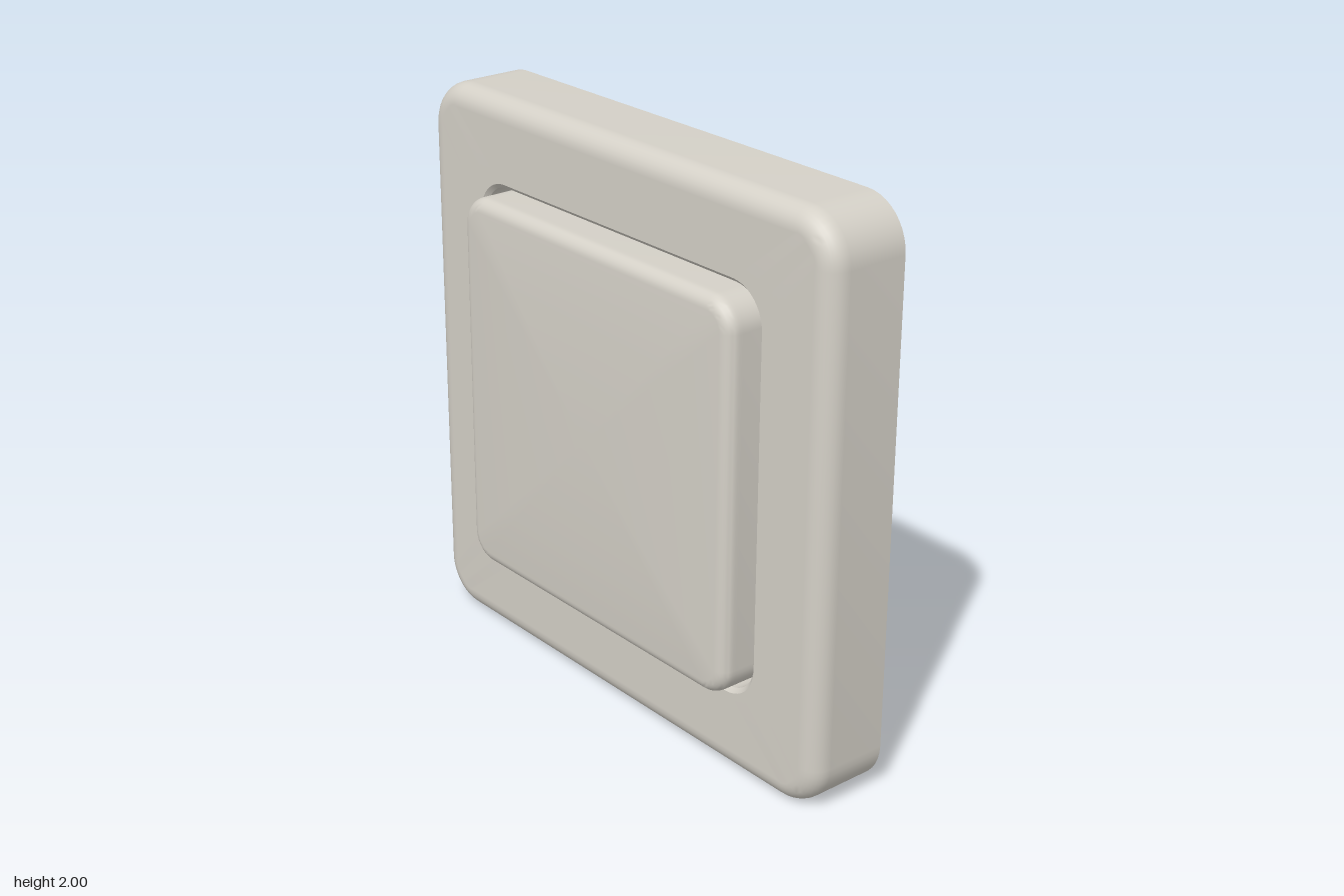
import * as THREE from 'three';
import { toCreasedNormals } from 'three/addons/utils/BufferGeometryUtils.js';

const CORNER = 10; // segments per rounded corner

// Rounded square outline, counter-clockwise seen from +z
function ring(half, radius, z) {
  const pts = [];
  for (let q = 0; q < 4; q++) {
    const mid = Math.PI / 4 + q * Math.PI / 2;
    const cx = Math.sign(Math.cos(mid)) * (half - radius);
    const cy = Math.sign(Math.sin(mid)) * (half - radius);
    for (let i = 0; i <= CORNER; i++) {
      const a = (q + i / CORNER) * Math.PI / 2;
      pts.push([cx + radius * Math.cos(a), cy + radius * Math.sin(a), z]);
    }
  }
  return pts;
}

// Skin a list of [half, radius, z] outlines
function loft(sections, crease) {
  const rings = sections.map(s => ring(...s));
  const n = rings[0].length;
  const index = [];
  for (let k = 0; k < rings.length - 1; k++) {
    for (let j = 0; j < n; j++) {
      const a = k * n + j, b = k * n + (j + 1) % n;
      index.push(a, b, b + n, a, b + n, a + n);
    }
  }
  const geo = new THREE.BufferGeometry();
  geo.setAttribute('position', new THREE.Float32BufferAttribute(rings.flat(2), 3));
  geo.setIndex(index);
  return toCreasedNormals(geo, crease);
}

// Quarter-round edge from the side wall to the front face
function fillet(half, radius, front, r, steps = 8) {
  const out = [];
  for (let i = 0; i <= steps; i++) {
    const a = i / steps * Math.PI / 2;
    const inset = r * (1 - Math.cos(a));
    out.push([half - inset, radius - inset, front - r * (1 - Math.sin(a))]);
  }
  return out;
}

export function createModel() {
  const group = new THREE.Group();
  const plastic = new THREE.MeshStandardMaterial({ color: 0xd4d0c7 });
  plastic.name = 'warm grey plastic';

  // Frame: rounded front edge, chamfered opening, slightly dished back
  const frameSections = [
    [1, 0.165, -0.21],
    [1, 0.165, 0.01],
    ...fillet(1, 0.165, 0.085, 0.07),
    [0.925, 0.09, 0.085],
    [0.712, 0.135, 0.085],
    [0.697, 0.12, 0.07],
    [0.695, 0.118, -0.185],
    [1, 0.165, -0.21],
  ];
  const frame = new THREE.Mesh(loft(frameSections, 0.6), plastic);
  frame.name = 'frame';

  // Rocker: flat back, straight sides, rounded edge and shallow domed front
  const rockerSections = [
    [0, 0, 0.02],
    [0.68, 0.105, 0.02],
    [0.68, 0.105, 0.13],
    ...fillet(0.68, 0.105, 0.188, 0.045),
  ];
  const domeSteps = 3;
  for (let i = 1; i <= domeSteps; i++) {
    const s = 1 - i / domeSteps;
    rockerSections.push([0.635 * s, 0.06 * s, 0.188 + 0.02 * (1 - s * s)]);
  }
  const rocker = new THREE.Mesh(loft(rockerSections, 0.6), plastic);
  rocker.name = 'rocker';

  for (const part of [frame, rocker]) {
    part.position.y = 1;
    group.add(part);
  }
  return group;
}
